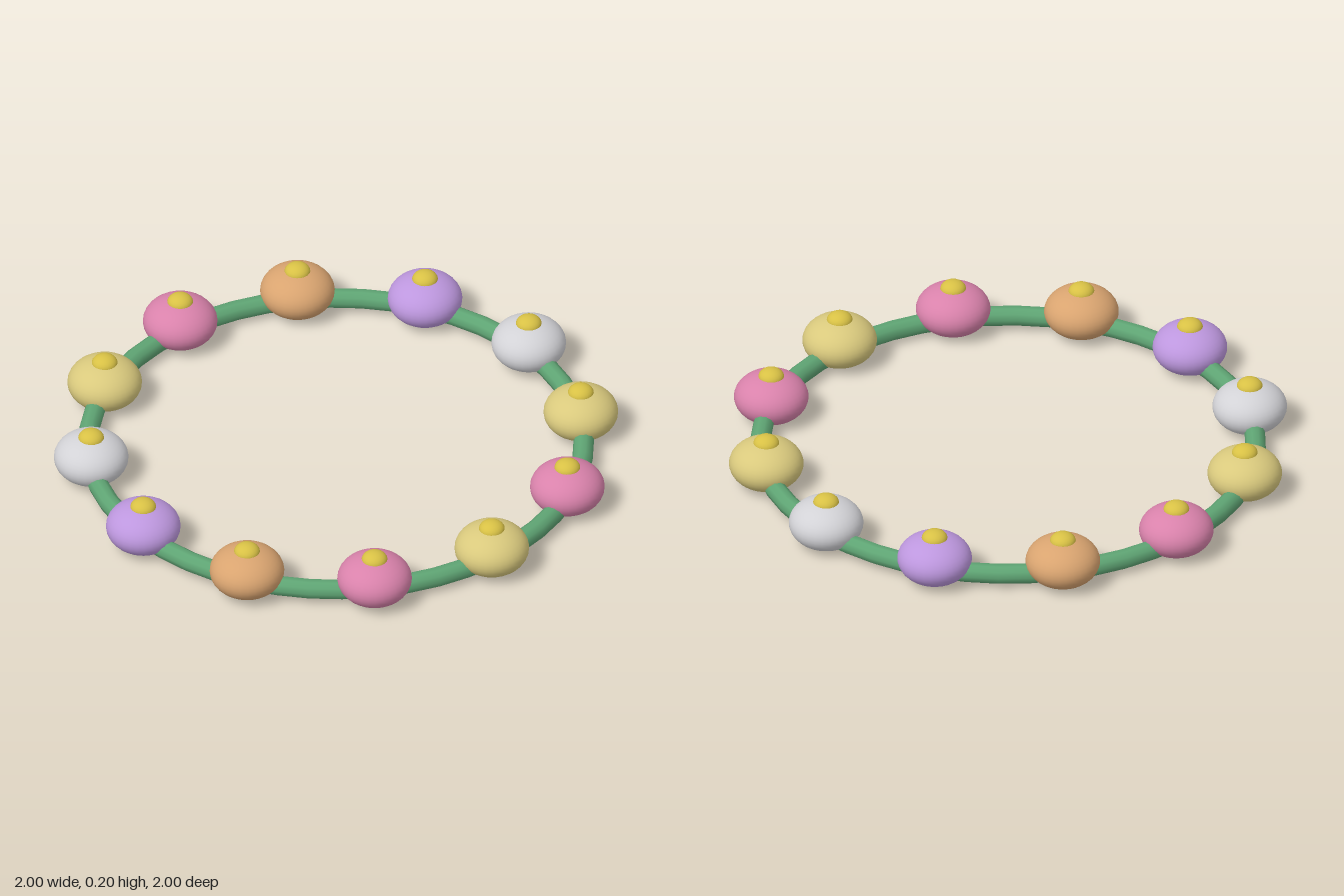
import * as THREE from 'three';

const mat = (name, color) => {
  const m = new THREE.MeshStandardMaterial({ color });
  m.name = name;
  return m;
};

export function createModel() {
  const group = new THREE.Group();
  const R = 0.868;
  const colours = {
    orange: mat('orange petal', 0xd9a470),
    pink: mat('pink petal', 0xd982ab),
    yellow: mat('pale yellow petal', 0xd9c97d),
    white: mat('white petal', 0xd2d2d6),
    purple: mat('purple petal', 0xbd97de),
  };
  const green = mat('stem green', 0x5fa574);
  const gold = mat('flower centre gold', 0xd8c145);

  // Stem ring
  const ring = new THREE.Mesh(new THREE.TorusGeometry(R, 0.036, 10, 48), green);
  ring.name = 'stemRing';
  ring.rotation.x = Math.PI / 2;
  ring.position.y = 0.053;
  group.add(ring);

  // Blossoms, counted from the front towards +x
  const order = ['orange', 'pink', 'yellow', 'pink', 'yellow', 'white',
    'purple', 'orange', 'pink', 'yellow', 'white', 'purple'];
  const petalGeo = new THREE.SphereGeometry(0.131, 32, 20).scale(1, 0.68, 1);
  const centreGeo = new THREE.SphereGeometry(0.046, 20, 14).scale(1, 0.7, 1);
  order.forEach((c, i) => {
    const a = (i * Math.PI) / 6;
    const flower = new THREE.Group();
    flower.name = `flower${i + 1}`;
    flower.position.set(R * Math.sin(a), 0.095, R * Math.cos(a));
    const petals = new THREE.Mesh(petalGeo, colours[c]);
    petals.name = 'petals';
    const centre = new THREE.Mesh(centreGeo, gold);
    centre.name = 'flowerCentre';
    centre.position.y = 0.08;
    flower.add(petals, centre);
    group.add(flower);
  });
  return group;
}
